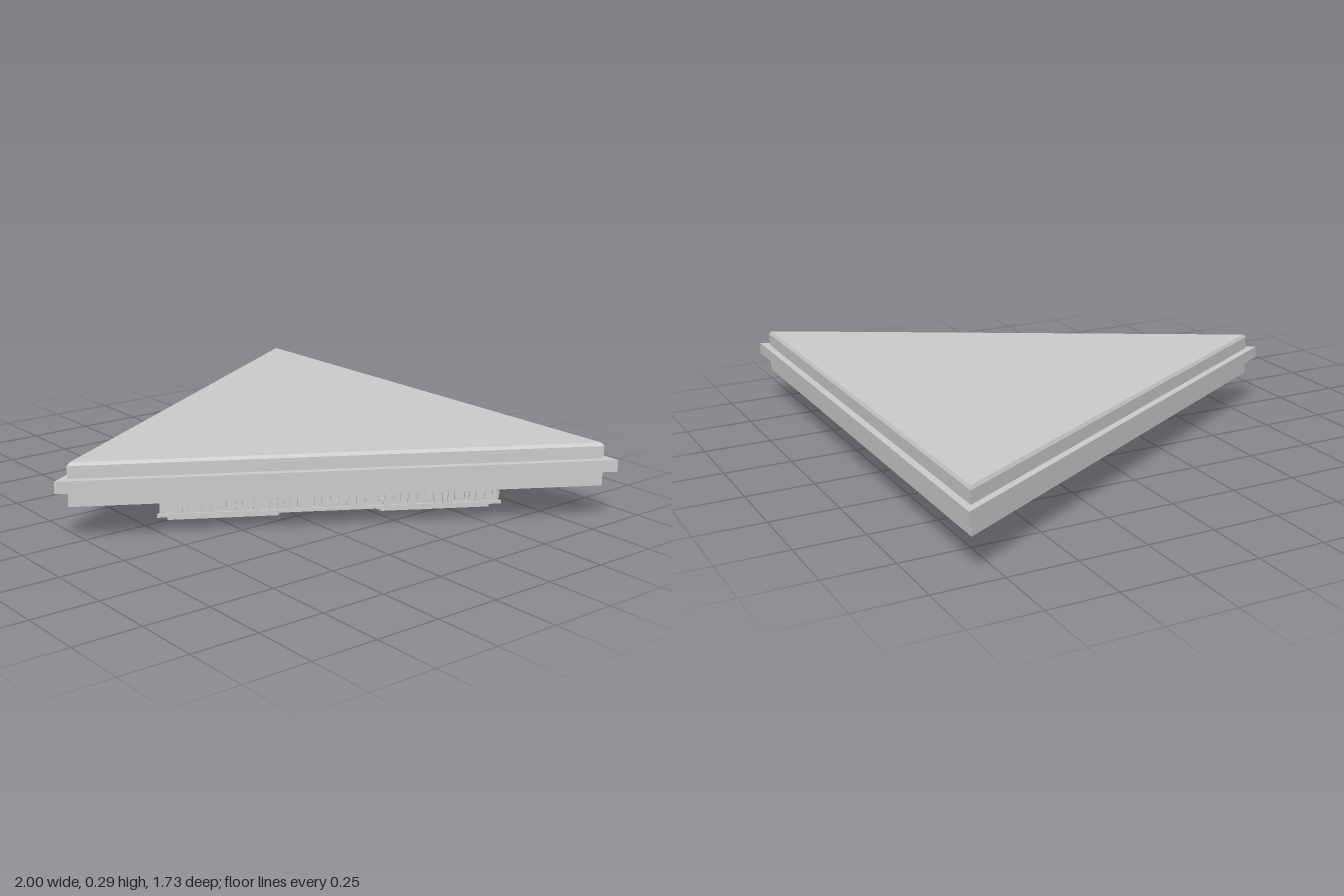
import * as THREE from 'three';
import { mergeGeometries } from 'three/addons/utils/BufferGeometryUtils.js';

const CENTRE_Z = -0.2887; // centroid of the triangle
const APOTHEM = 1 / Math.sqrt(3); // inradius for a half-width of 1
const THIRD = (Math.PI * 2) / 3;

export function createModel() {
  const model = new THREE.Group();
  model.name = 'triangularSlab';
  const body = new THREE.Group(); // three-fold parts are built around its axis
  body.name = 'body';
  body.position.z = CENTRE_Z;
  model.add(body);
  const material = new THREE.MeshStandardMaterial({ color: 0xcccccc, flatShading: true });

  function add(name, geometry) {
    const mesh = new THREE.Mesh(geometry, material);
    mesh.name = name;
    body.add(mesh);
  }

  // Triangular tier with a corner towards +z, sized by its half-width
  function tier(name, bottomHalf, topHalf, y0, y1) {
    const k = 2 / Math.sqrt(3);
    const g = new THREE.CylinderGeometry(topHalf * k, bottomHalf * k, y1 - y0, 3);
    g.translate(0, (y0 + y1) / 2, 0);
    add(name, g);
  }

  // Flat plate from an outline of [x, z] points
  function plate(points, y0, y1) {
    const shape = new THREE.Shape(points.map(([x, z]) => new THREE.Vector2(x, -z)));
    const g = new THREE.ExtrudeGeometry(shape, { depth: y1 - y0, bevelEnabled: false });
    g.rotateX(-Math.PI / 2);
    g.translate(0, y0, 0);
    return g;
  }

  // Main slab, its projecting rim and its chamfered top
  tier('slab', 0.955, 0.955, 0.135, 0.283);
  tier('topChamfer', 0.955, 0.945, 0.283, 0.295);
  tier('rim', 1, 1, 0.193, 0.237);

  // Carved base: a recessed core between two thin bands
  tier('baseCore', 0.629, 0.629, 0.022, 0.135);
  tier('baseUpperBand', 0.64, 0.64, 0.126, 0.136);
  tier('baseLowerBand', 0.64, 0.64, 0.018, 0.03);

  // Irregular upright relief around the base
  let seed = 11;
  const rand = () => (seed = (seed * 16807) % 2147483647) / 2147483647;
  const carvings = [];
  for (let side = 0; side < 3; side++) {
    for (let x = -0.62; x < 0.62; x += 0.021 + rand() * 0.014) {
      const height = 0.055 + rand() * 0.04;
      const bar = new THREE.BoxGeometry(0.009 + rand() * 0.013, height, 0.012);
      bar.rotateZ((rand() - 0.5) * 0.25);
      bar.translate(x, 0.078 + (rand() - 0.5) * (0.095 - height), 0.633 * APOTHEM);
      bar.rotateY(Math.PI / 3 + side * THIRD);
      carvings.push(bar);
      if (rand() < 0.4) { // short cross stroke
        const stroke = new THREE.BoxGeometry(0.03, 0.01, 0.01);
        stroke.translate(Math.min(x + 0.012, 0.61), 0.045 + rand() * 0.065, 0.633 * APOTHEM);
        stroke.rotateY(Math.PI / 3 + side * THIRD);
        carvings.push(stroke);
      }
    }
  }
  add('baseCarvings', mergeGeometries(carvings));

  // Underside: three corner plates, with thinner plates set between them
  const corners = [];
  const fillers = [];
  const edge = -0.6 * APOTHEM;
  for (let i = 0; i < 3; i++) {
    const corner = plate([[0, 0.693], [0.204, 0.339], [0.07, 0.13], [-0.07, 0.13], [-0.204, 0.339]], 0, 0.02);
    const filler = plate([[0.18, edge], [-0.18, edge], [-0.06, -0.13], [0, -0.02], [0.06, -0.13]], 0.01, 0.02);
    corners.push(corner.rotateY(i * THIRD));
    fillers.push(filler.rotateY(i * THIRD));
  }
  add('undersideCornerPlates', mergeGeometries(corners));
  add('undersideInnerPlates', mergeGeometries(fillers));

  return model;
}
